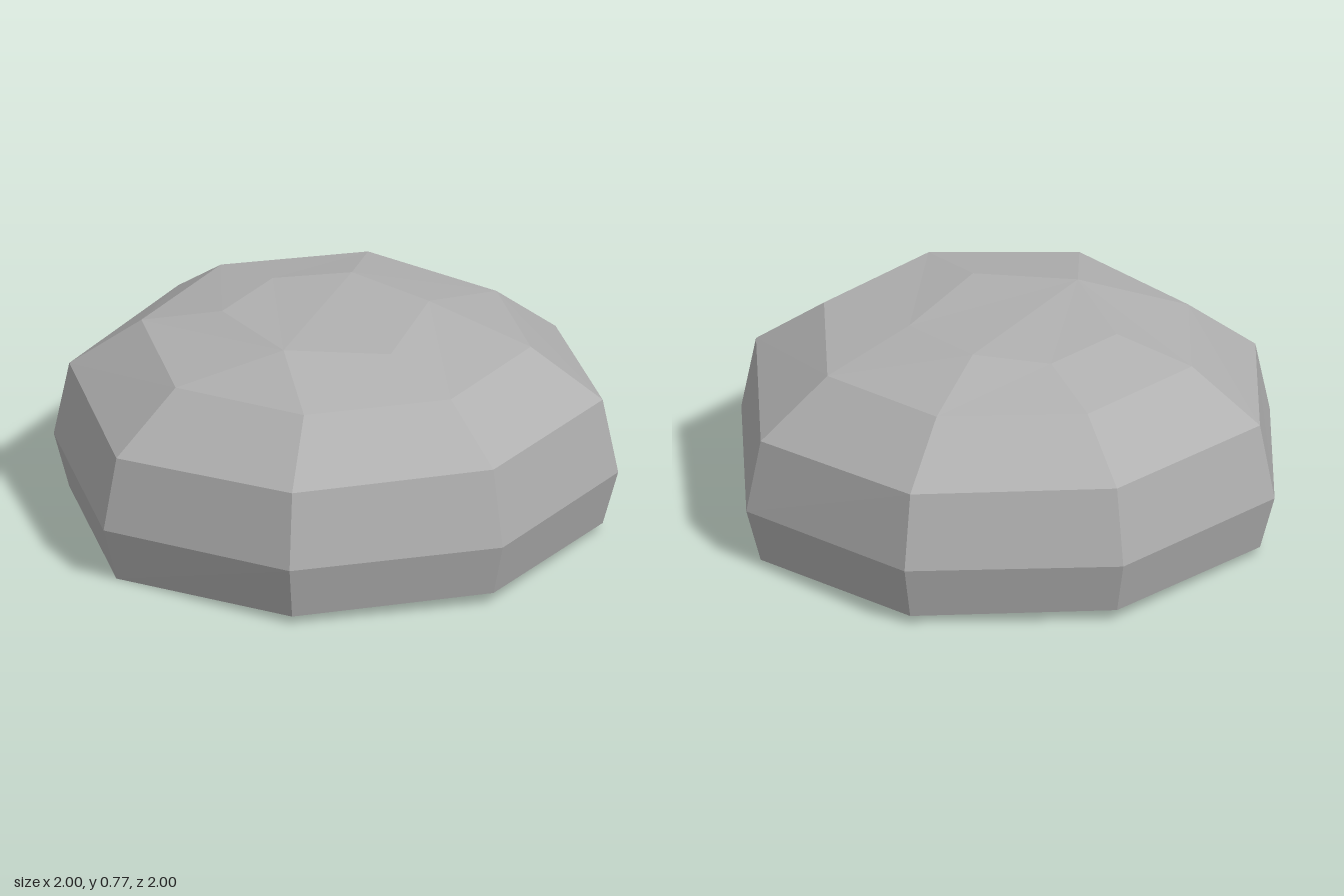
import * as THREE from 'three';

// One eight-sided ring; heights alternate between axis corners and the two diagonals.
function ring(radius, axisY, highY, lowY) {
  return Array.from({ length: 8 }, (_, i) => {
    const a = (i * Math.PI) / 4;
    const y = i % 2 === 0 ? axisY : i % 4 === 1 ? highY : lowY;
    return [radius * Math.sin(a), y, radius * Math.cos(a)];
  });
}

export function createModel() {
  const stone = new THREE.MeshStandardMaterial({ color: 0xb0b0b0, flatShading: true });
  stone.name = 'stone grey';

  // Crown corners: a ridge from a to d with a shallow facet on each side.
  const a = [-0.13, 0.77, 0.34], b = [0.24, 0.755, 0.28], c = [0.3, 0.755, -0.18];
  const d = [0, 0.77, -0.34], e = [-0.27, 0.755, -0.28], f = [-0.4, 0.755, 0.02];

  const rings = [
    ring(0.945, 0.03, 0.045, 0),
    ring(1, 0.23, 0.24, 0.2),
    ring(0.945, 0.505, 0.52, 0.463),
    ring(0.69, 0.69, 0.695, 0.667),
    [a, b, c, c, d, e, f, a], // two columns merge at the crown
  ];

  const positions = [];
  const tri = (p, q, r) => {
    if (p !== q && q !== r && r !== p) positions.push(...p, ...q, ...r);
  };

  // Side bands
  for (let k = 0; k < rings.length - 1; k++) {
    for (let i = 0; i < 8; i++) {
      const j = (i + 1) % 8;
      const lo = rings[k], hi = rings[k + 1];
      tri(lo[i], lo[j], hi[j]);
      tri(lo[i], hi[j], hi[i]);
    }
  }

  // Crown
  tri(a, b, c);
  tri(a, c, d);
  tri(a, d, e);
  tri(a, e, f);

  // Underside fan
  const base = [0, 0.025, 0];
  for (let i = 0; i < 8; i++) tri(base, rings[0][(i + 1) % 8], rings[0][i]);

  const geometry = new THREE.BufferGeometry();
  geometry.setAttribute('position', new THREE.Float32BufferAttribute(positions, 3));
  geometry.computeVertexNormals();

  const rock = new THREE.Mesh(geometry, stone);
  rock.name = 'rock';
  const group = new THREE.Group();
  group.name = 'boulder';
  group.add(rock);
  return group;
}
